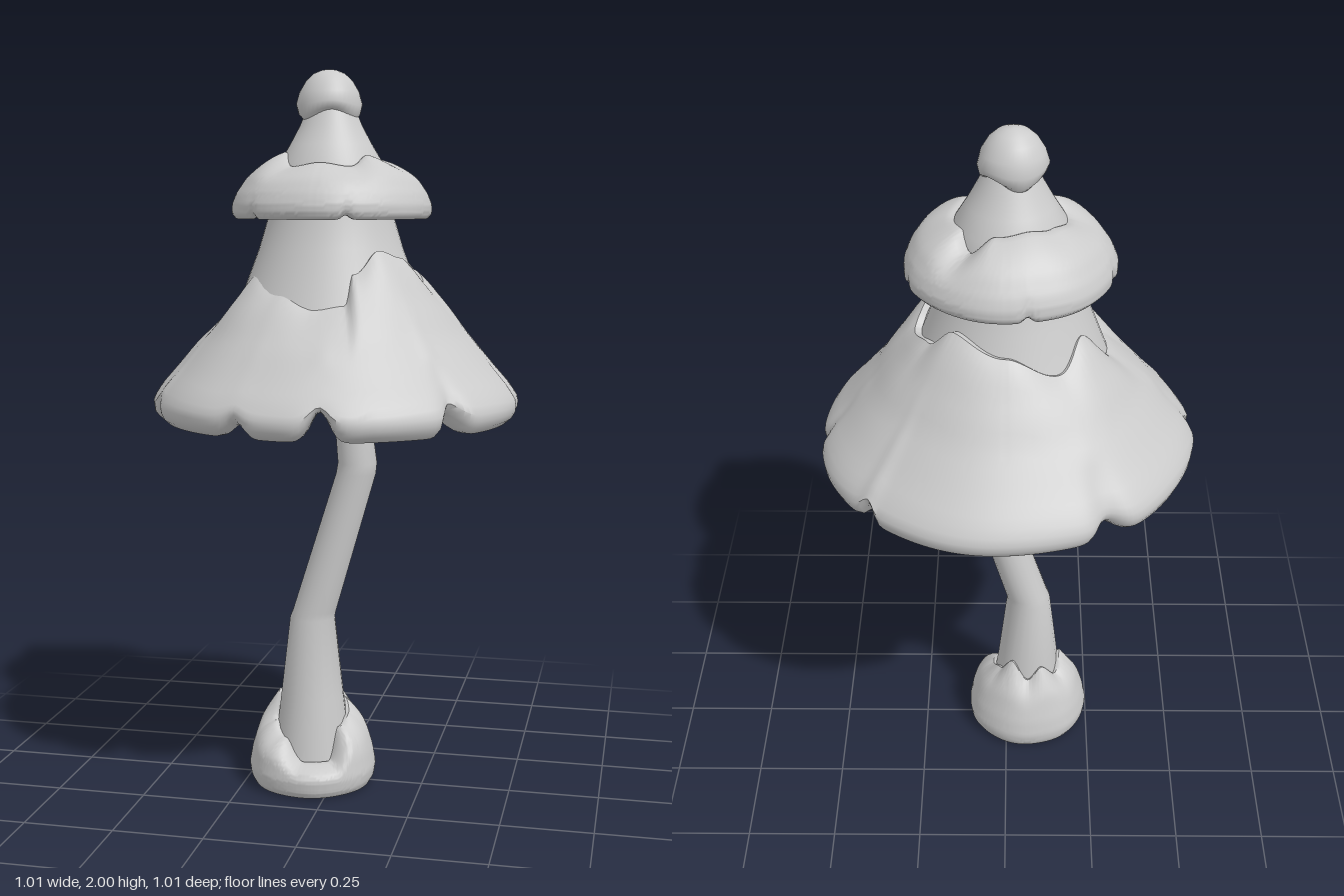
import * as THREE from 'three';
import { toCreasedNormals } from 'three/addons/utils/BufferGeometryUtils.js';

const material = new THREE.MeshStandardMaterial({ color: 0xcccccc, side: THREE.DoubleSide });
const RAD = Math.PI / 180;

// Linear lookup in [[key, value], ...] sorted by key
function lookup(table, k) {
  if (k <= table[0][0]) return table[0][1];
  for (let i = 1; i < table.length; i++) {
    const [k0, v0] = table[i - 1], [k1, v1] = table[i];
    if (k <= k1) return v0 + (v1 - v0) * (k - k0) / (k1 - k0);
  }
  return table[table.length - 1][1];
}

// Eased value around the circle; angle 0 is the front, 90 the model's left
function around(keys, deg) {
  const n = keys.length;
  for (let i = 0; i < n; i++) {
    const [a0, v0] = keys[i];
    const a1 = i + 1 < n ? keys[i + 1][0] : keys[0][0] + 360;
    const v1 = keys[(i + 1) % n][1];
    if (deg >= a0 && deg <= a1) {
      const t = (deg - a0) / (a1 - a0);
      return v0 + (v1 - v0) * t * t * (3 - 2 * t);
    }
  }
  return keys[0][1];
}

// Closed rings: point(row, degrees) returns [radius, y, centreX, centreZ]
function loft(name, rows, segments, point, crease) {
  const positions = [], index = [];
  for (let i = 0; i < rows; i++) {
    for (let j = 0; j < segments; j++) {
      const deg = j * 360 / segments;
      const [r, y, cx, cz] = point(i, deg);
      positions.push(cx + r * Math.sin(deg * RAD), y, cz + r * Math.cos(deg * RAD));
      if (i === rows - 1) continue;
      const a = i * segments + j, b = i * segments + (j + 1) % segments;
      index.push(a, b, b + segments, a, b + segments, a + segments);
    }
  }
  let geometry = new THREE.BufferGeometry();
  geometry.setAttribute('position', new THREE.Float32BufferAttribute(positions, 3));
  geometry.setIndex(index);
  geometry.computeVertexNormals();
  if (crease) geometry = toCreasedNormals(geometry, crease);
  const mesh = new THREE.Mesh(geometry, material);
  mesh.name = name;
  return mesh;
}

// Skirt: inner points, then hem, outer wall and a ragged rim that hugs the body inside it
function skirt(name, o) {
  const wall = 20, ni = o.inner.length;
  const { notches = [], gills = 0, dentHeight = 1 } = o;
  return loft(name, ni + wall + 2, 240, (i, deg) => {
    let lift = 0, dent = 0;
    for (const [a, width, height, depth] of notches) {
      const d = ((deg - a + 540) % 360) - 180;
      const g = Math.exp(-d * d / (width * width));
      lift += g * height;
      dent += g * depth;
    }
    const wobble = 1 + 0.008 * (Math.sin(3 * deg * RAD + 1) + 0.7 * Math.sin(7 * deg * RAD));
    if (i < ni) {
      // Pleated underside
      const [r, y] = o.inner[i];
      const fade = i / (ni - 1);
      const phase = deg * gills / 360 + 0.25 * Math.sin(5 * deg * RAD);
      const saw = phase - Math.floor(phase);
      const pleat = gills ? o.pleat * (saw - 0.7) * Math.sin(Math.PI * (0.12 + 0.75 * fade)) : 0;
      return [r * wobble - dent * fade + pleat, y + lift * fade, o.x, o.z];
    }
    const t = Math.min((i - ni) / wall, 1);
    const base = o.outer[0][0];
    const rise = base + (around(o.rim, deg) - base) * (1 - Math.pow(1 - t, 1.4)) * (0.35 + 0.65 * t)
      / (0.35 + 0.65 * t + 0.4 * (1 - t));
    const fall = Math.max(0, 1 - (rise - base) / dentHeight);
    const body = o.body(rise);
    let r = lookup(o.outer, rise) * wobble - dent * fall;
    // Round the rim over onto the body
    const over = Math.pow(Math.max(0, (t - 0.6) / 0.4), 2.5);
    r += (body + 0.008 - r) * over;
    if (i === ni + wall + 1) return [body - 0.03, rise - 0.015, o.x, o.z];
    return [r, rise + lift * Math.pow(1 - t, 3), o.x, o.z];
  }, 0.8);
}

export function createModel() {
  const model = new THREE.Group();

  // Bent stem: y, centre x, centre z, radius
  const stem = [
    [0.03, -0.065, 0.02, 0.118], [0.1, -0.064, 0.02, 0.108], [0.25, -0.066, 0.015, 0.09],
    [0.48, -0.066, 0.012, 0.064], [0.5, -0.06, 0.012, 0.062], [0.9, 0.06, 0.015, 0.056],
    [0.93, 0.064, 0.015, 0.055], [1.12, 0.043, 0.012, 0.049], [1.5, 0.005, 0.01, 0.045],
  ];
  model.add(loft('stem', stem.length, 20, (i) => {
    const [y, x, z, r] = stem[i];
    return [r, y, x, z];
  }, 0.6));

  // Swollen foot with a ragged upper edge, low at the front
  model.add(skirt('foot', {
    x: -0.065, z: 0.018,
    inner: [[0.001, 0.012], [0.145, 0.012], [0.158, 0]],
    outer: [[0.004, 0.168], [0.02, 0.177], [0.05, 0.181], [0.1, 0.172], [0.18, 0.148], [0.24, 0.122], [0.3, 0.1]],
    rim: [[0, 0.09], [35, 0.09], [60, 0.18], [90, 0.2], [125, 0.23], [150, 0.28], [180, 0.22],
      [205, 0.26], [235, 0.21], [265, 0.26], [290, 0.18], [325, 0.15]],
    body: (y) => lookup([[0, 0.12], [0.1, 0.108], [0.3, 0.085]], y),
  }));

  // Tapering cone running through both caps
  const core = [[1.36, 0.258], [1.43, 0.232], [1.52, 0.198], [1.6, 0.174], [1.7, 0.155],
    [1.75, 0.142], [1.8, 0.112], [1.85, 0.085], [1.89, 0.068], [1.95, 0.04]];
  const coreRadius = (y) => lookup(core, y);
  model.add(loft('capCone', core.length, 48, (i) => [core[i][1], core[i][0], -0.012, 0.01]));

  // Large lower cap with torn hem and gills
  model.add(skirt('lowerCap', {
    x: 0, z: 0, gills: 17, pleat: 0.07, dentHeight: 0.2,
    inner: [[0.03, 1.49], [0.13, 1.41], [0.24, 1.3], [0.345, 1.19], [0.43, 1.1], [0.46, 1.056]],
    outer: [[1.056, 0.482], [1.075, 0.504], [1.11, 0.508], [1.15, 0.482], [1.2, 0.438], [1.3, 0.355],
      [1.4, 0.292], [1.5, 0.245], [1.54, 0.222]],
    rim: [[0, 1.37], [17, 1.38], [23, 1.46], [45, 1.52], [65, 1.5], [90, 1.43], [120, 1.46], [140, 1.52],
      [180, 1.48], [215, 1.42], [240, 1.48], [268, 1.37], [290, 1.37], [305, 1.46], [335, 1.41]],
    notches: [[7, 4, 0.075, 0.035], [50, 4, 0.05, 0.055], [95, 3, 0.03, 0.03], [135, 3, 0.05, 0.015],
      [213, 5, 0.03, 0.045], [273, 3, 0.05, 0.03], [297, 3, 0.04, 0.012], [340, 4, 0.035, 0.015]],
    body: coreRadius,
  }));

  // Small upper cap
  model.add(skirt('upperCap', {
    x: -0.01, z: 0.01, gills: 16, pleat: 0.035, dentHeight: 0.08,
    inner: [[0.13, 1.73], [0.18, 1.7], [0.222, 1.65], [0.245, 1.61], [0.254, 1.602]],
    outer: [[1.602, 0.262], [1.615, 0.273], [1.64, 0.273], [1.67, 0.261], [1.71, 0.234], [1.75, 0.202], [1.79, 0.17]],
    rim: [[0, 1.75], [30, 1.74], [55, 1.77], [85, 1.75], [120, 1.76], [140, 1.72], [165, 1.77],
      [200, 1.78], [230, 1.77], [270, 1.75], [300, 1.78], [330, 1.74]],
    notches: [[20, 3, 0.012, 0.006], [110, 3, 0.012, 0.006], [190, 3, 0.012, 0.006],
      [255, 3, 0.015, 0.01], [320, 3, 0.012, 0.006]],
    body: coreRadius,
  }));

  // Egg-shaped knob with a wavy lower edge
  const knob = [[0.04, 1.88], [0.068, 1.872], [0.084, 1.885], [0.09, 1.908], [0.081, 1.94],
    [0.063, 1.97], [0.042, 1.989], [0.02, 1.998], [0.001, 2]];
  model.add(loft('knob', knob.length, 40, (i, deg) => {
    const [r, y] = knob[i];
    const wave = Math.max(0, 1 - i / 4) * 0.022 * Math.sin(3 * deg * RAD + 0.8);
    return [r, y + wave, -0.018, 0.005];
  }));

  return model;
}
